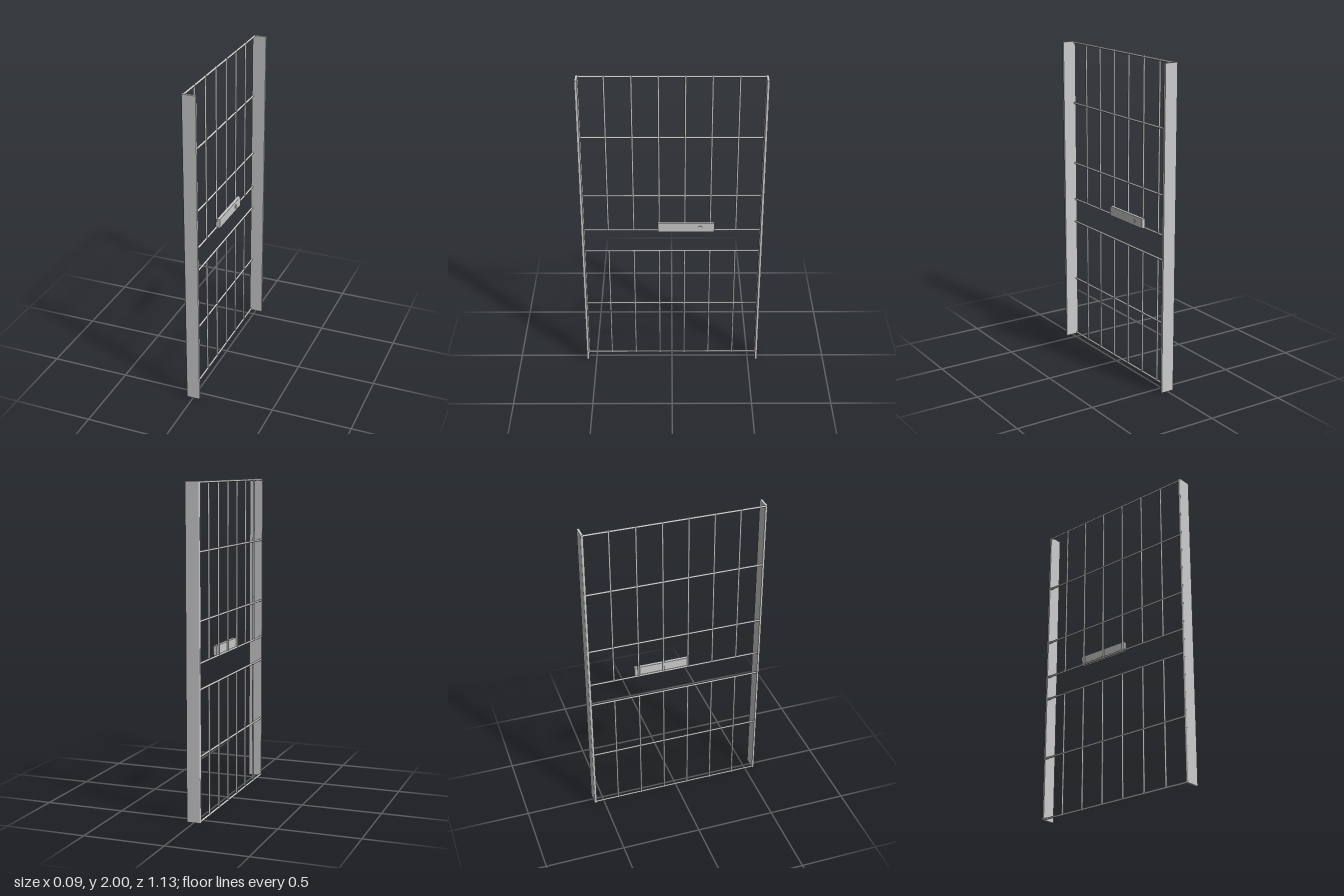
import * as THREE from 'three';
import { RoundedBoxGeometry } from 'three/addons/geometries/RoundedBoxGeometry.js';

const R = 0.0065;      // bar radius
const BAR_X = -0.036;  // plane of the grille
const mat = new THREE.MeshStandardMaterial({ color: 0xcccccc });

function add(parent, name, geometry, x, y, z) {
  const mesh = new THREE.Mesh(geometry, mat);
  mesh.name = name;
  mesh.position.set(x, y, z);
  parent.add(mesh);
  return mesh;
}

// Flat side post with its outer back corner rounded; side is +1 or -1 along z
function addPost(parent, side) {
  const x0 = -0.044, x1 = 0.043, inner = 0.548, outer = 0.564, r = 0.008;
  const s = new THREE.Shape();
  s.moveTo(x0, side * inner);
  s.lineTo(x1, side * inner);
  s.lineTo(x1, side * outer);
  s.lineTo(x0 + r, side * outer);
  s.quadraticCurveTo(x0, side * outer, x0, side * (outer - r));
  s.closePath();
  const g = new THREE.ExtrudeGeometry(s, { depth: 2, bevelEnabled: false, curveSegments: 4 });
  g.rotateX(Math.PI / 2); // shape y becomes z, depth runs downwards
  add(parent, side > 0 ? 'frontPost' : 'backPost', g, 0, 2, 0);
}

export function createModel() {
  const model = new THREE.Group();
  model.name = 'barredGate';

  for (const side of [1, -1]) addPost(model, side);

  // Horizontal rails
  const rails = new THREE.Group();
  rails.name = 'rails';
  const railGeometry = new THREE.CylinderGeometry(R, R, 1.104, 12).rotateX(Math.PI / 2);
  for (const y of [R, 0.4, 0.8, 0.955, 1.2, 1.6, 2 - R]) add(rails, 'rail', railGeometry, BAR_X, y, 0);
  model.add(rails);

  // Vertical bars, with an open slot between the two middle rails
  const bars = new THREE.Group();
  bars.name = 'bars';
  for (const [bottom, top] of [[0, 0.8], [0.955, 2]]) {
    const barGeometry = new THREE.CylinderGeometry(R, R, top - bottom, 12);
    for (const z of [0.08, 0.24, 0.4])
      for (const side of [1, -1]) add(bars, 'bar', barGeometry, BAR_X, (bottom + top) / 2, side * z);
  }
  model.add(bars);

  // Lock case above the slot, with a small round cylinder on its face
  const lock = new THREE.Group();
  lock.name = 'lock';
  add(lock, 'lockCase', new RoundedBoxGeometry(0.022, 0.062, 0.354, 2, 0.002), -0.021, 0.985, -0.088);
  const knob = new THREE.CylinderGeometry(0.013, 0.013, 0.008, 20).rotateZ(Math.PI / 2);
  add(lock, 'lockCylinder', knob, -0.01, 0.985, -0.177);
  model.add(lock);

  return model;
}
